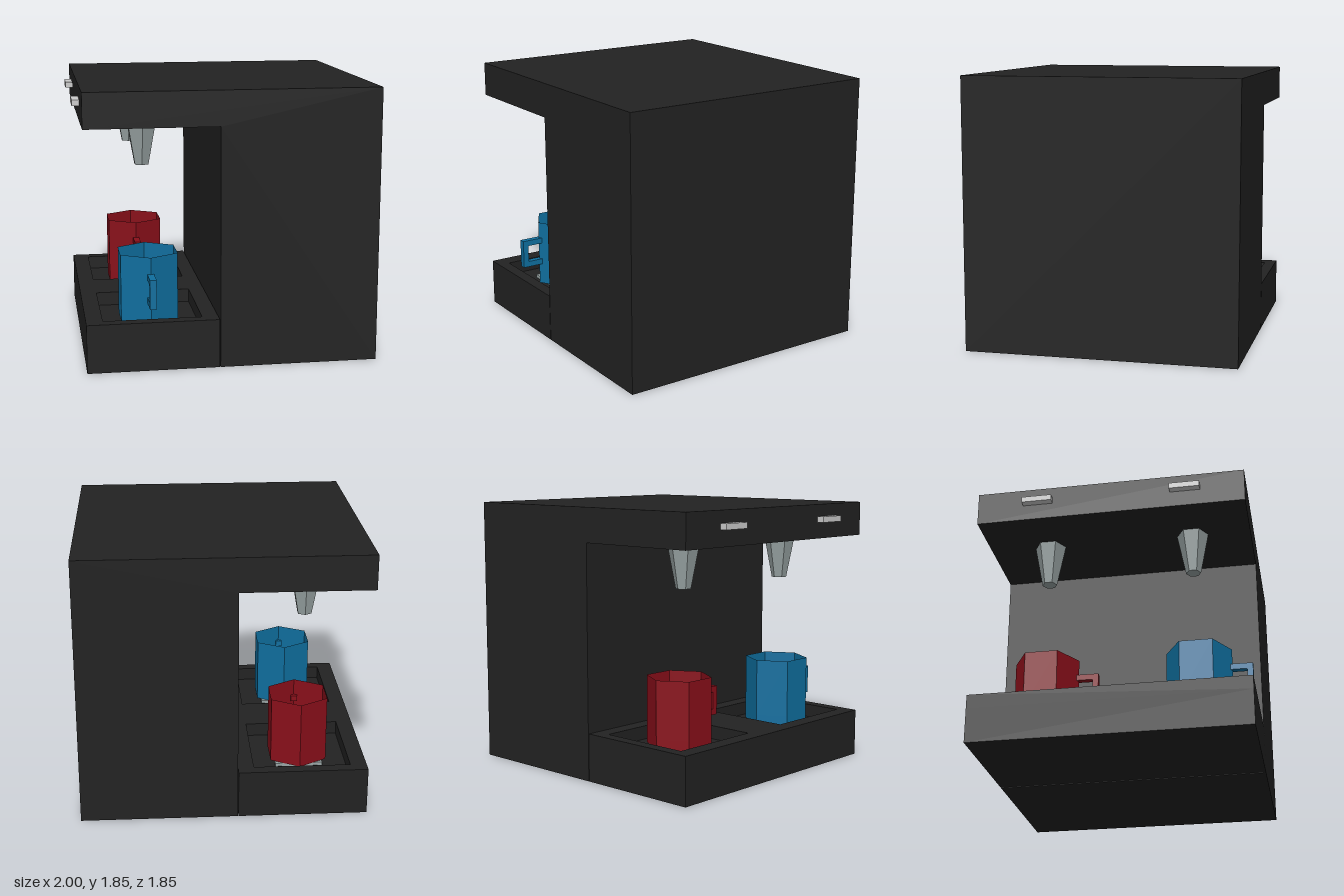
import * as THREE from 'three';

const paint = (color, side = THREE.FrontSide) =>
  new THREE.MeshStandardMaterial({ color, flatShading: true, side });
const black = paint(0x222222);
const steel = paint(0x9aa5a5);
const grey = paint(0xcccccc);

function add(parent, name, geometry, material) {
  const mesh = new THREE.Mesh(geometry, material);
  mesh.name = name;
  parent.add(mesh);
  return mesh;
}

// Box given by its limits on each axis
function box(x0, x1, y0, y1, z0, z1) {
  return new THREE.BoxGeometry(x1 - x0, y1 - y0, z1 - z0)
    .translate((x0 + x1) / 2, (y0 + y1) / 2, (z0 + z1) / 2);
}

const polygon = (points) => new THREE.Shape(points.map(([x, y]) => new THREE.Vector2(x, y)));
const extrude = (shape, depth) => new THREE.ExtrudeGeometry(shape, { depth, bevelEnabled: false });
const rect = (x0, x1, y0, y1) => [[x0, y0], [x1, y0], [x1, y1], [x0, y1]];

const HALF = 0.925;       // half depth of the machine
const STATIONS = [0.52, -0.5]; // z of the two brewing places
const CUP_X = -0.508;
const TRAY_FLOOR = 0.237;

function createMug(color) {
  const mug = new THREE.Group();
  const R = 0.222, bottom = 0.26, floor = 0.325, top = 0.725;
  const material = paint(color, THREE.DoubleSide);

  // Thin six-sided wall on a solid foot
  add(mug, 'mugWall', new THREE.CylinderGeometry(R, R, top - floor, 6, 1, true)
    .translate(0, (top + floor) / 2, 0), material);
  add(mug, 'mugBase', new THREE.CylinderGeometry(R, R, floor - bottom, 6)
    .translate(0, (floor + bottom) / 2, 0), material);

  // C-shaped handle pointing to +z
  const outline = polygon([
    [0.19, 0.41], [0.36, 0.41], [0.36, 0.61], [0.19, 0.61],
    [0.19, 0.57], [0.32, 0.57], [0.32, 0.45], [0.19, 0.45],
  ]);
  add(mug, 'mugHandle', extrude(outline, 0.045)
    .translate(0, 0, -0.0225).rotateY(-Math.PI / 2), material);
  return mug;
}

export function createModel() {
  const model = new THREE.Group();
  model.name = 'coffeeMachine';

  // Rear column with the overhanging head
  const profile = polygon([
    [-0.065, 0], [1, 0], [1, 1.85], [-0.95, 1.85], [-0.95, 1.615], [-0.065, 1.615],
  ]);
  add(model, 'body', extrude(profile, HALF * 2).translate(0, 0, -HALF), black);

  // Drip tray: solid bottom and a rim with two square recesses
  add(model, 'trayBottom', box(-0.95, -0.07, 0, TRAY_FLOOR, -HALF, HALF), black);
  const rim = polygon(rect(-0.95, -0.07, -HALF, HALF));
  for (const s of [-1, 1]) {
    const c = s * 0.51;
    rim.holes.push(polygon(rect(CUP_X - 0.33, CUP_X + 0.33, c - 0.335, c + 0.335)));
  }
  add(model, 'trayRim', extrude(rim, 0.33 - TRAY_FLOOR)
    .rotateX(-Math.PI / 2).translate(0, TRAY_FLOOR, 0), black);

  // Each station: button, nozzle, cup plate and mug
  STATIONS.forEach((z, i) => {
    add(model, 'button', box(-1, -0.94, 1.727, 1.767, z - 0.103, z + 0.103), grey);
    add(model, 'nozzle', new THREE.CylinderGeometry(0.11, 0.052, 0.3, 6)
      .translate(-0.54, 1.465, z), steel);

    const cupZ = i === 0 ? 0.54 : -0.505;
    add(model, 'cupPlate', box(CUP_X - 0.163, CUP_X + 0.163, TRAY_FLOOR - 0.01, 0.26,
      cupZ - 0.163, cupZ + 0.163), steel);

    const mug = createMug(i === 0 ? 0x0f6f9f : 0x8a0f1a);
    mug.name = i === 0 ? 'blueMug' : 'redMug';
    mug.position.set(CUP_X, 0, cupZ);
    model.add(mug);
  });

  return model;
}
